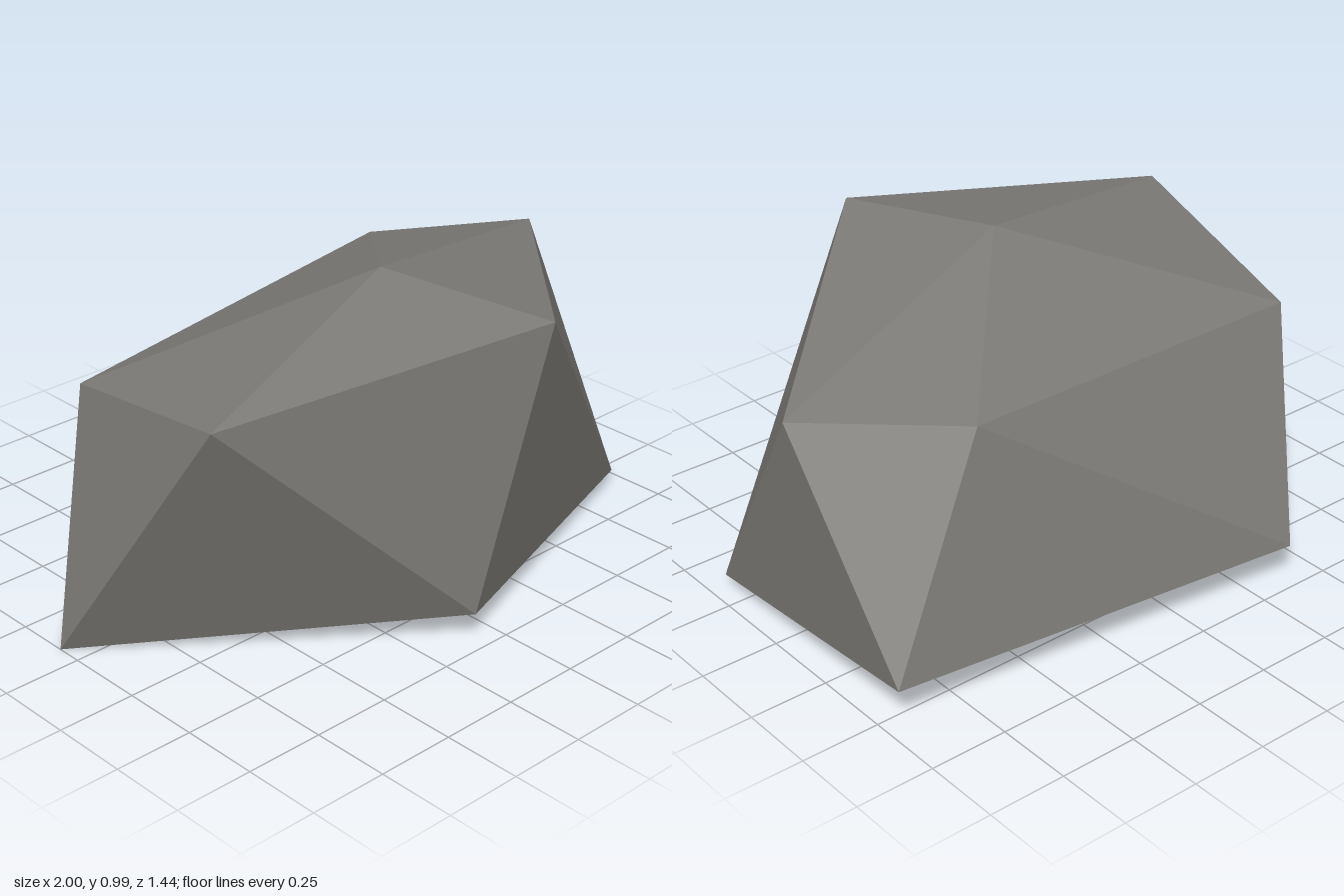
import * as THREE from 'three';

// Low-poly boulder: a bent icosahedron made of two staggered rings of five and two poles.
export function createModel() {
  const top = [0.03, 0.985, 0.18];
  const bottom = [-0.18, 0.045, -0.04];
  // Both rings run counter-clockwise seen from above; upper[i] sits between lower[i] and lower[i + 1].
  const lower = [[0.95, 0.045, 0.34], [0.96, 0.12, -0.55], [-0.38, 0.125, -0.72], [-1, 0, -0.08], [-0.09, 0.09, 0.71]];
  const upper = [[1, 0.79, -0.11], [0.58, 0.765, -0.43], [-0.71, 0.68, -0.31], [-0.83, 0.825, 0.42], [0.19, 0.935, 0.72]];

  const positions = [];
  const face = (a, b, c) => positions.push(...a, ...b, ...c);
  for (let i = 0; i < 5; i++) {
    const j = (i + 1) % 5;
    face(top, upper[i], upper[j]); // crown
    face(lower[i], lower[j], upper[i]); // side, point up
    face(upper[i], lower[j], upper[j]); // side, point down
    face(bottom, lower[j], lower[i]); // underside
  }

  const geometry = new THREE.BufferGeometry();
  geometry.setAttribute('position', new THREE.Float32BufferAttribute(positions, 3));
  geometry.computeVertexNormals();

  const stone = new THREE.MeshStandardMaterial({ color: 0x7d7b77, flatShading: true });
  stone.name = 'warm grey stone';

  const rock = new THREE.Mesh(geometry, stone);
  rock.name = 'rock';
  const group = new THREE.Group();
  group.name = 'boulder';
  group.add(rock);
  return group;
}
